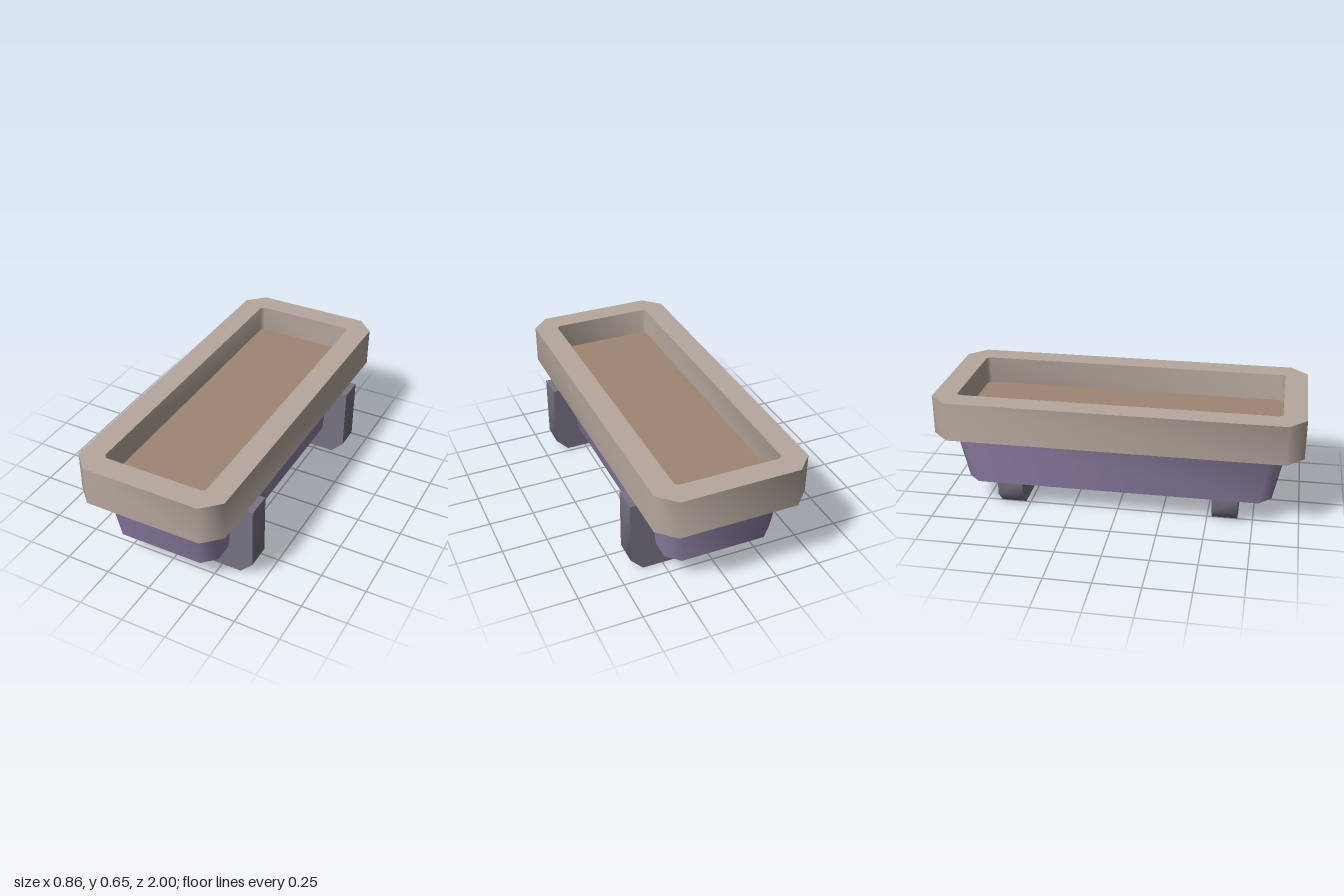
import * as THREE from 'three';
import { toCreasedNormals } from 'three/addons/utils/BufferGeometryUtils.js';

const material = (name, color) => {
  const m = new THREE.MeshStandardMaterial({ color });
  m.name = name;
  return m;
};

// Rectangle with cut corners, given half sizes
function cutRectangle(w, h, c, Type = THREE.Shape) {
  return new Type([
    [w - c, -h], [w, -h + c], [w, h - c], [w - c, h],
    [-w + c, h], [-w, h - c], [-w, -h + c], [-w + c, -h],
  ].map(([x, y]) => new THREE.Vector2(x, y)));
}

const extrude = (shape, depth) => new THREE.ExtrudeGeometry(shape, { depth, bevelEnabled: false });

// Upright extrusion standing on y = 0
const extrudeUp = (shape, height) => extrude(shape, height).rotateX(-Math.PI / 2);

export function createModel() {
  const group = new THREE.Group();
  const stone = material('warm grey rim', 0xb5a79d);
  const soilBrown = material('soil brown', 0x9f8671);
  const purple = material('muted purple', 0x8e7fa3);
  const slate = material('slate bracket', 0x787282);
  const centreX = -0.014;

  // 45 degree corners are shaded smoothly, right angles stay sharp
  const add = (name, geometry, mat, x, y, z) => {
    const mesh = new THREE.Mesh(toCreasedNormals(geometry, Math.PI / 3), mat);
    mesh.name = name;
    mesh.position.set(x, y, z);
    group.add(mesh);
  };

  // Rim frame with its opening
  const rimShape = cutRectangle(0.416, 1, 0.093);
  rimShape.holes.push(cutRectangle(0.29, 0.874, 0.018, THREE.Path));
  add('rim', extrudeUp(rimShape, 0.217), stone, centreX, 0.437, 0);

  // Soil surface inside the rim
  add('soil', extrudeUp(cutRectangle(0.292, 0.876, 0.018), 0.06), soilBrown, centreX, 0.44, 0);

  // Trough, widening towards the top
  const trough = extrudeUp(cutRectangle(0.3025, 0.845, 0.068), 0.295);
  const p = trough.attributes.position;
  for (let i = 0; i < p.count; i++) {
    if (p.getY(i) > 0.1) {
      p.setX(i, p.getX(i) * 1.078);
      p.setZ(i, p.getZ(i) * 1.072);
    }
  }
  add('trough', trough, purple, centreX, 0.142, 0);

  // Two L-shaped brackets under and beside the trough
  const bracketShape = new THREE.Shape([
    [-0.316, 0.142], [-0.316, 0.07], [-0.247, 0], [0.36, 0],
    [0.428, 0.07], [0.428, 0.422], [0.311, 0.422], [0.289, 0.142],
  ].map(([x, y]) => new THREE.Vector2(x, y)));
  for (const [name, z] of [['frontBracket', 0.597], ['backBracket', -0.597]]) {
    add(name, extrude(bracketShape, 0.14), slate, 0, 0, z - 0.07);
  }

  return group;
}
